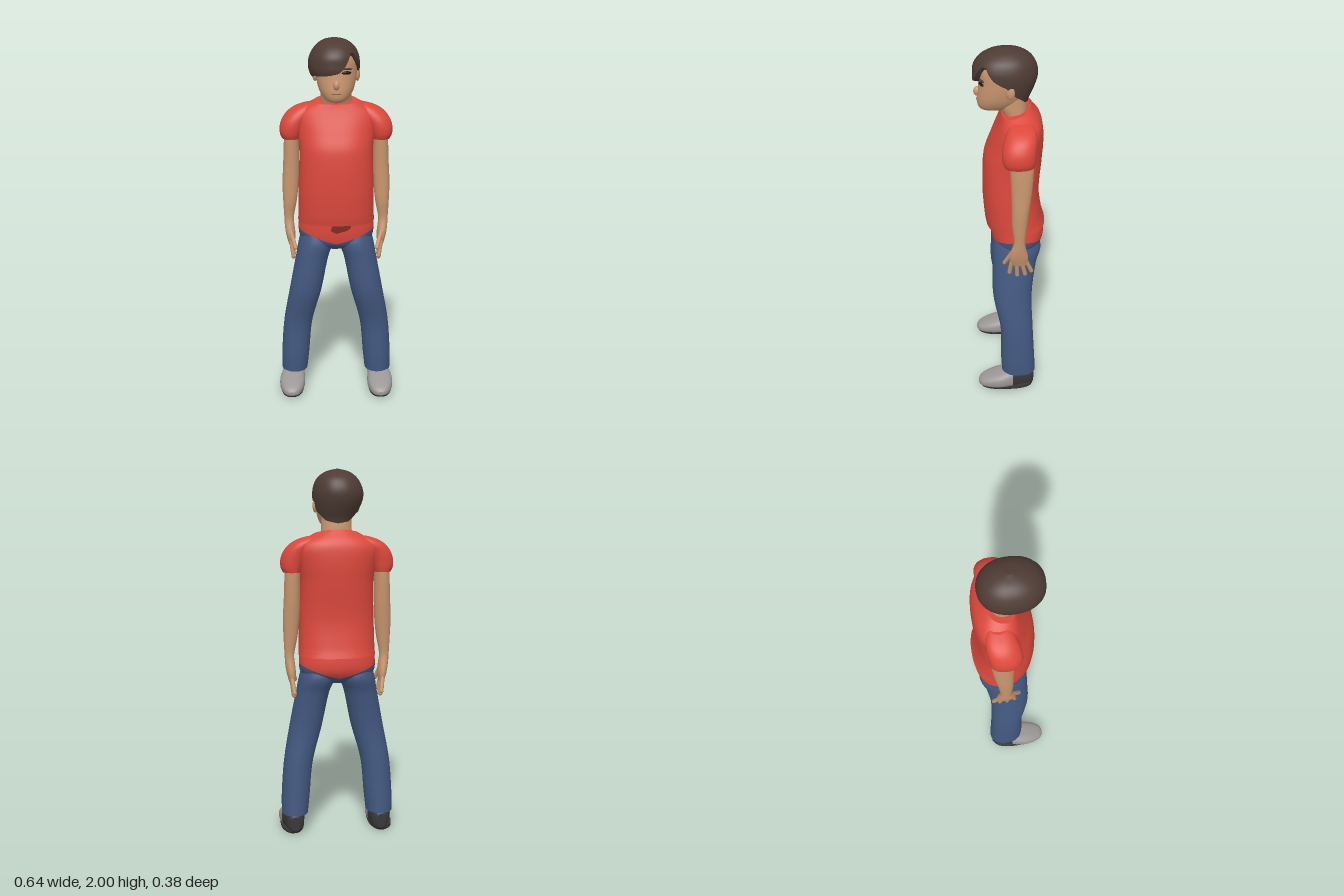
import * as THREE from 'three';

const mat = (name, color, side = THREE.FrontSide) => {
  const m = new THREE.MeshStandardMaterial({ color, side });
  m.name = name;
  return m;
};

// Section extents [x0, x1, z0, z1] at height y, smoothly interpolated between rows [y, x0, x1, z0, z1]
function extents(rows, y) {
  const last = rows.length - 1;
  let i = 0;
  while (i < last - 1 && y > rows[i + 1][0]) i++;
  const a = rows[i], b = rows[i + 1], h = b[0] - a[0];
  const t = THREE.MathUtils.clamp((y - a[0]) / h, 0, 1);
  const slope = (k, c) => {
    const p = rows[Math.max(k - 1, 0)], q = rows[Math.min(k + 1, last)];
    return (q[c] - p[c]) / (q[0] - p[0]);
  };
  return [1, 2, 3, 4].map(c =>
    a[c] * (1 + 2 * t) * (1 - t) ** 2 + b[c] * t * t * (3 - 2 * t) +
    h * (slope(i, c) * t * (1 - t) ** 2 + slope(i + 1, c) * t * t * (t - 1)));
}

// Capped loft of superellipse sections; the lower and upper rims may vary with the angle
function loft(rows, { n = 36, m = 24, p = 2.2, lo, hi, dome = false } = {}) {
  const pos = [], index = [];
  const bottom = lo || (() => rows[0][0]);
  const top = hi || (() => rows[rows.length - 1][0]);
  const pw = v => Math.sign(v) * Math.abs(v) ** (2 / p);
  for (let j = 0; j <= m; j++) {
    const s = dome ? Math.sin(j / m * Math.PI / 2) : j / m;
    for (let i = 0; i < n; i++) {
      const a = i / n * Math.PI * 2;
      const y = THREE.MathUtils.lerp(bottom(a), top(a), s);
      const [x0, x1, z0, z1] = extents(rows, y);
      pos.push((x0 + x1) / 2 + (x1 - x0) / 2 * pw(Math.cos(a)), y,
        (z0 + z1) / 2 + (z1 - z0) / 2 * pw(Math.sin(a)));
    }
  }
  for (let j = 0; j < m; j++) for (let i = 0; i < n; i++) {
    const a = j * n + i, b = j * n + (i + 1) % n;
    index.push(a, a + n, b, b, a + n, b + n);
  }
  for (const j of [0, m]) {
    const base = pos.length / 3, c = [0, 0, 0];
    for (let i = 0; i < n; i++) for (let k = 0; k < 3; k++) {
      const v = pos[(j * n + i) * 3 + k];
      pos.push(v);
      c[k] += v / n;
    }
    pos.push(...c);
    for (let i = 0; i < n; i++) {
      const a = base + i, b = base + (i + 1) % n;
      index.push(base + n, ...(j ? [b, a] : [a, b]));
    }
  }
  const g = new THREE.BufferGeometry();
  g.setAttribute('position', new THREE.Float32BufferAttribute(pos, 3));
  g.setIndex(index);
  g.computeVertexNormals();
  return g;
}

const sym = rows => rows.map(([y, w, z0, z1]) => [y, -w, w, z0, z1]);
const flip = (rows, s) => s > 0 ? rows : rows.map(([y, a, b, c, d]) => [y, -b, -a, c, d]);

export function createModel() {
  const root = new THREE.Group();
  root.name = 'boy';
  const skin = mat('skin', 0xc8966f), red = mat('shirt red', 0xdc483c), blue = mat('denim blue', 0x425880);
  const hairMat = mat('hair brown', 0x4e3b34, THREE.DoubleSide), grey = mat('shoe grey', 0x9b9796);
  const dark = mat('heel charcoal', 0x38383a), ink = mat('eye dark', 0x1c1615);
  const lip = mat('lip', 0xa9745a), shade = mat('fold dark red', 0x7c2a23, THREE.DoubleSide);
  const add = (name, geo, m) => {
    const mesh = new THREE.Mesh(geo, m);
    mesh.name = name;
    root.add(mesh);
    return mesh;
  };
  const blob = (name, m, at, size, ry = 0) => {
    const b = add(name, new THREE.SphereGeometry(1, 20, 14), m);
    b.position.set(...at);
    b.scale.set(...size);
    b.rotation.y = ry;
  };

  // Head and neck
  add('neck', loft(sym([[1.58, 0.085, -0.09, 0.01], [1.65, 0.083, -0.09, 0.035],
    [1.7, 0.082, -0.088, 0.06], [1.76, 0.08, -0.08, 0.06]]), { m: 10 }), skin);
  add('head', loft(sym([[1.668, 0.03, 0.03, 0.12], [1.675, 0.045, 0.01, 0.148], [1.69, 0.065, -0.02, 0.163],
    [1.73, 0.09, -0.065, 0.168], [1.77, 0.102, -0.085, 0.164], [1.83, 0.11, -0.11, 0.158],
    [1.9, 0.106, -0.11, 0.155], [1.95, 0.08, -0.08, 0.12], [1.975, 0.03, -0.02, 0.06]]), { m: 30 }), skin);
  blob('nose', skin, [0, 1.768, 0.166], [0.017, 0.026, 0.02]);
  blob('mouth', lip, [0, 1.724, 0.164], [0.028, 0.006, 0.008]);
  for (const s of [1, -1]) {
    blob('ear', skin, [s * 0.113, 1.805, 0.002], [0.013, 0.037, 0.024], s * -0.3);
    blob('eye', ink, [s * 0.052, 1.83, 0.146], [0.027, 0.009, 0.008], s * 0.35);
    blob('eyebrow', hairMat, [s * 0.054, 1.85, 0.145], [0.03, 0.006, 0.008], s * 0.35);
  }

  // Hair with a swept fringe: hem height by angle (degrees from the left side, 90 = front)
  const hem = [[-180, 1.8], [-150, 1.76], [-125, 1.725], [-90, 1.715], [-50, 1.73], [-20, 1.775], [0, 1.835],
    [20, 1.87], [38, 1.93], [50, 1.93], [64, 1.875], [78, 1.835], [100, 1.82], [135, 1.81], [158, 1.825], [180, 1.8]];
  const hemAt = a => {
    const d = a * 180 / Math.PI, deg = d > 180 ? d - 360 : d;
    const i = Math.max(1, hem.findIndex(h => deg <= h[0]));
    return THREE.MathUtils.mapLinear(deg, hem[i - 1][0], hem[i][0], hem[i - 1][1], hem[i][1]);
  };
  add('hair', loft([[1.7, -0.085, 0.085, -0.09, 0.1], [1.74, -0.1, 0.1, -0.1, 0.13], [1.78, -0.122, 0.114, -0.118, 0.165],
    [1.83, -0.144, 0.123, -0.138, 0.189], [1.87, -0.149, 0.125, -0.145, 0.19], [1.91, -0.14, 0.119, -0.138, 0.185],
    [1.95, -0.117, 0.1, -0.115, 0.157], [1.975, -0.09, 0.072, -0.082, 0.12], [1.99, -0.06, 0.042, -0.046, 0.08],
    [2, -0.016, -0.004, 0.01, 0.03]], { n: 72, m: 28, lo: hemAt, dome: true }), hairMat);

  // Shirt body
  add('shirt', loft(sym([[1.0, 0.21, -0.19, 0.13], [1.05, 0.208, -0.175, 0.138], [1.2, 0.205, -0.156, 0.147],
    [1.4, 0.2, -0.17, 0.138], [1.5, 0.212, -0.176, 0.102], [1.58, 0.225, -0.172, 0.068], [1.62, 0.2, -0.16, 0.052],
    [1.65, 0.14, -0.138, 0.043], [1.68, 0.09, -0.11, 0.036]]),
    { n: 48, m: 40, p: 2.4, hi: a => 1.665 - 0.018 * Math.sin(a) }), red);

  // Hips: shirt tail above a V-shaped line, trousers below it
  const hips = sym([[0.85, 0.12, -0.1, 0.06], [0.88, 0.18, -0.15, 0.09], [0.93, 0.207, -0.182, 0.102],
    [1.03, 0.203, -0.18, 0.105]]);
  const vLine = a => 0.885 + 0.072 * Math.abs(Math.cos(a));
  add('shirtTail', loft(hips, { n: 48, m: 8, p: 2.4, lo: vLine }), red);
  add('trouserSeat', loft(hips, { n: 48, m: 8, p: 2.4, hi: vLine }), blue);
  const fold = new THREE.Shape([[-0.03, 0.965], [0, 0.95], [0.06, 0.967], [0.08, 0.985], [0.075, 1.002], [-0.02, 1.002]]
    .map(q => new THREE.Vector2(...q)));
  add('shirtFold', new THREE.ShapeGeometry(fold), shade).position.z = 0.107;

  for (const s of [1, -1]) {
    const side = s > 0 ? 'left' : 'right';
    // Sleeve and arm
    add(side + 'Sleeve', loft(flip([[1.455, 0.195, 0.293, -0.115, 0.035], [1.48, 0.185, 0.304, -0.12, 0.046],
      [1.52, 0.17, 0.305, -0.124, 0.05], [1.56, 0.15, 0.292, -0.128, 0.045], [1.6, 0.12, 0.262, -0.13, 0.03],
      [1.63, 0.1, 0.215, -0.12, 0.01], [1.645, 0.09, 0.165, -0.1, -0.01]], s), { m: 22 }), red);
    add(side + 'Arm', loft(flip([[0.85, 0.232, 0.262, -0.085, 0.0], [0.9, 0.226, 0.276, -0.088, 0.014],
      [0.95, 0.23, 0.284, -0.078, 0.004], [1.0, 0.235, 0.287, -0.07, -0.01], [1.1, 0.217, 0.292, -0.08, 0],
      [1.2, 0.206, 0.295, -0.092, 0.002], [1.3, 0.202, 0.29, -0.104, 0.004], [1.45, 0.2, 0.283, -0.114, 0.01],
      [1.55, 0.19, 0.27, -0.11, 0.01]], s), { m: 36, n: 28 }), skin);
    // Spread fingers and thumb: root and tip as [y, z]
    [[[0.88, 0.0], [0.795, 0.012]], [[0.87, -0.025], [0.775, -0.03]], [[0.87, -0.052], [0.78, -0.072]],
      [[0.88, -0.074], [0.8, -0.106]], [[0.93, 0.0], [0.85, 0.038]]].forEach(([r, t], i) => {
      const from = new THREE.Vector3(s * 0.25, ...r), to = new THREE.Vector3(s * (i === 4 ? 0.225 : 0.238), ...t);
      const dir = to.clone().sub(from);
      const f = add(side + (i === 4 ? 'Thumb' : 'Finger'), new THREE.CapsuleGeometry(0.0115, dir.length(), 5, 10), skin);
      f.position.copy(from).lerp(to, 0.5);
      f.quaternion.setFromUnitVectors(new THREE.Vector3(0, 1, 0), dir.normalize());
    });
    // Trouser leg
    add(side + 'TrouserLeg', loft(flip([[0.11, 0.165, 0.31, -0.135, 0.055], [0.2, 0.155, 0.31, -0.13, 0.06],
      [0.4, 0.135, 0.295, -0.12, 0.062], [0.6, 0.082, 0.26, -0.115, 0.1], [0.8, 0.04, 0.222, -0.14, 0.1],
      [0.88, 0.008, 0.207, -0.165, 0.098], [0.94, 0.01, 0.19, -0.15, 0.08]], s), { m: 40 }), blue);
    // Shoe, lofted from heel to toe: rows are [z, x0, x1, -top, -bottom]
    const shoe = flip([[-0.125, 0.215, 0.265, -0.1, -0.02], [-0.11, 0.196, 0.282, -0.12, -0.006],
      [-0.05, 0.186, 0.295, -0.13, -0.002], [0, 0.181, 0.31, -0.128, -0.004], [0.05, 0.178, 0.32, -0.112, -0.006],
      [0.1, 0.181, 0.318, -0.096, -0.008], [0.15, 0.195, 0.304, -0.076, -0.012], [0.178, 0.212, 0.286, -0.06, -0.018],
      [0.19, 0.235, 0.265, -0.045, -0.026]], s);
    add(side + 'ShoeHeel', loft(shoe, { hi: () => -0.005, m: 10, p: 2.6 }).rotateX(Math.PI / 2), dark);
    add(side + 'ShoeToe', loft(shoe, { lo: () => -0.005, m: 18, p: 2.6, dome: true }).rotateX(Math.PI / 2), grey);
    add(side + 'Sole', loft(flip([[0, 0.2, 0.296, -0.1, 0.155], [0.012, 0.186, 0.312, -0.118, 0.178],
      [0.03, 0.184, 0.314, -0.118, 0.186]], s), { m: 5, p: 2.5 }), dark);
  }
  return root;
}
